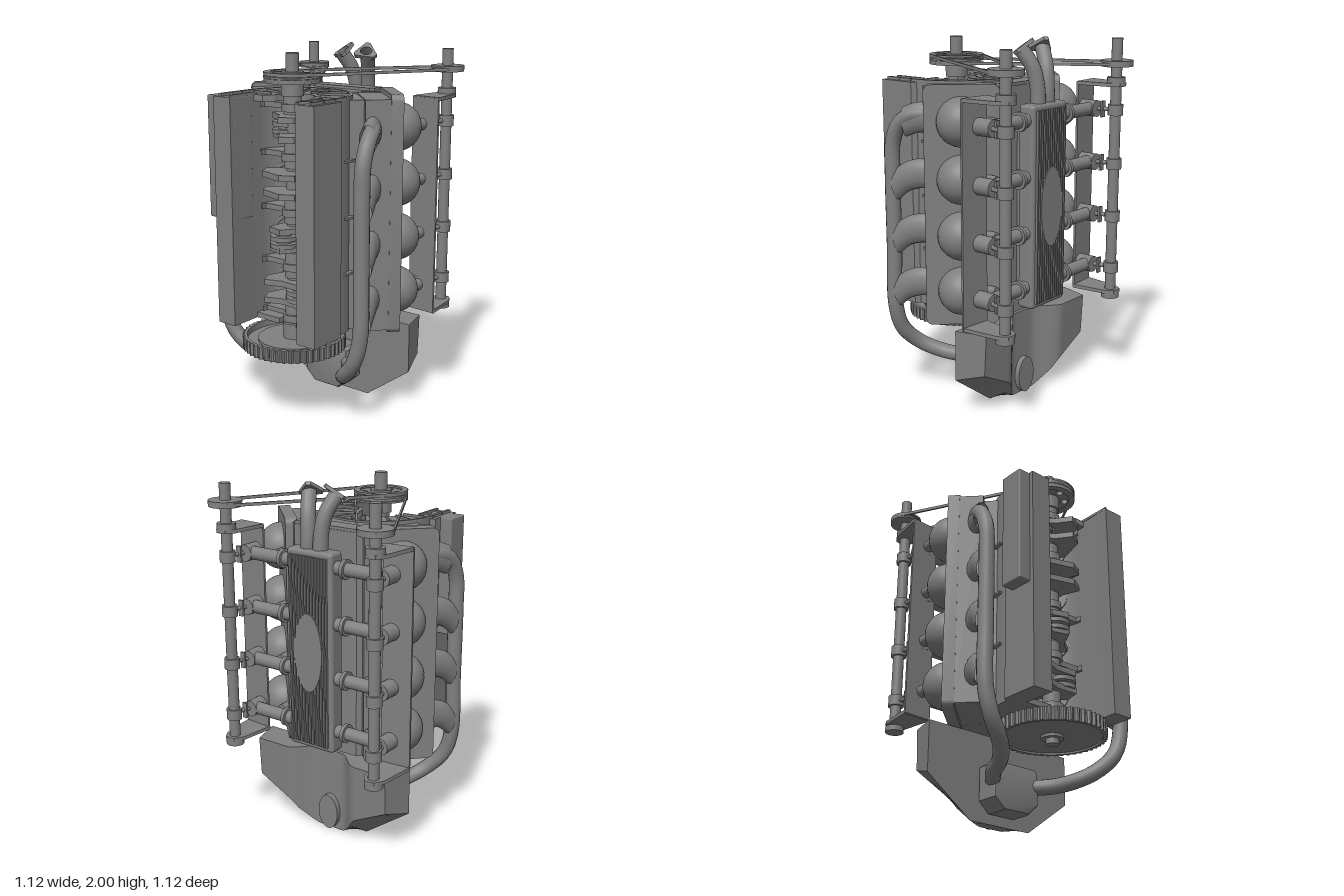
import * as THREE from 'three';
import { toCreasedNormals } from 'three/addons/utils/BufferGeometryUtils.js';
import { RoundedBoxGeometry } from 'three/addons/geometries/RoundedBoxGeometry.js';

const V = (x, y, z) => new THREE.Vector3(x, y, z);
const metal = new THREE.MeshStandardMaterial({ color: 0x808080, side: THREE.DoubleSide });
const CZ = 0.275; // crank axis
const ROWS = [0.69, 0.99, 1.29, 1.59]; // cylinder rows

function add(parent, name, geo, x = 0, y = 0, z = 0) {
  const m = new THREE.Mesh(geo, metal);
  m.name = name;
  m.position.set(x, y, z);
  parent.add(m);
  return m;
}
const box = (p, n, w, h, d, x, y, z) => add(p, n, new THREE.BoxGeometry(w, h, d), x, y, z);
const rbox = (p, n, w, h, d, r, x, y, z) => add(p, n, new RoundedBoxGeometry(w, h, d, 3, r), x, y, z);

// Cylinder between two points
function rod(p, n, a, b, r, seg = 20) {
  const d = b.clone().sub(a);
  const m = add(p, n, new THREE.CylinderGeometry(r, r, d.length(), seg));
  m.position.copy(a).addScaledVector(d, 0.5);
  m.quaternion.setFromUnitVectors(V(0, 1, 0), d.normalize());
  return m;
}
const disc = (p, n, x, z, y0, y1, r) => rod(p, n, V(x, y0, z), V(x, y1, z), r, 32);
const tube = (p, n, pts, r) =>
  add(p, n, new THREE.TubeGeometry(new THREE.CatmullRomCurve3(pts.map(q => V(...q)), false, 'centripetal'), 48, r, 16));
const poly = pts => new THREE.Shape(pts.map(q => new THREE.Vector2(...q)));

// Extrude an (x, z) shape from y0 to y1
function slab(p, n, shape, y0, y1, x = 0, z = 0) {
  const g = new THREE.ExtrudeGeometry(shape, { depth: y1 - y0, bevelEnabled: false, curveSegments: 28 });
  g.rotateX(Math.PI / 2);
  return add(p, n, toCreasedNormals(g, 0.6), x, y1, z);
}
function ring(ro, ri, holes = 0, hr = 0, at = 0) {
  const s = new THREE.Shape().absarc(0, 0, ro, 0, Math.PI * 2);
  s.holes.push(new THREE.Path().absarc(0, 0, ri, 0, Math.PI * 2));
  for (let i = 0; i < holes; i++) {
    const a = Math.PI / 2 + i * Math.PI * 2 / holes;
    s.holes.push(new THREE.Path().absarc(Math.cos(a) * at, Math.sin(a) * at, hr, 0, Math.PI * 2));
  }
  return s;
}
// Arch with legs: outer and inner radius around the crank
function arch(ro, ri, legOut, legIn, zEnd) {
  const s = new THREE.Shape();
  s.moveTo(legOut, zEnd).lineTo(legOut, CZ + 0.02);
  s.absarc(0, CZ, ro, 0, -Math.PI, true);
  s.lineTo(-legOut, CZ + 0.02).lineTo(-legOut, zEnd).lineTo(-legIn, zEnd);
  s.absarc(0, CZ, ri, -Math.PI, 0, false);
  s.lineTo(legIn, zEnd);
  return s;
}
// Outline of a belt around two circles
function hull(path, r1, x2, z2, r2) {
  const a = Math.atan2(z2 - CZ, x2), b = Math.acos((r1 - r2) / Math.hypot(x2, z2 - CZ));
  path.absarc(0, CZ, r1, a + b, a - b + Math.PI * 2, false);
  path.absarc(x2, z2, r2, a - b, a + b, false);
  return path;
}

function crankcase(g) {
  slab(g, 'crankcase', arch(0.315, 0.225, 0.34, 0.22, 0.515), 0.51, 1.755);
  slab(g, 'frontCover', arch(0.3, 0.12, 0.3, 0.16, 0.33), 1.72, 1.755);
  slab(g, 'coverRim', arch(0.315, 0.297, 0.315, 0.297, 0.5), 1.75, 1.77);
  slab(g, 'rearCover', arch(0.3, 0.06, 0.3, 0.06, 0.33), 0.51, 0.54);
  for (let i = 0; i <= 8; i++) { // radial ribs on the front cover
    const a = Math.PI + i * Math.PI / 8;
    const rib = box(g, 'coverRib', 0.15, 0.015, 0.01, Math.cos(a) * 0.225, 1.76, CZ + Math.sin(a) * 0.225);
    rib.rotation.y = -a;
  }
  for (const s of [-1, 1]) {
    for (const z of [0.36, 0.45]) {
      const rib = box(g, 'legRib', 0.13, 0.015, 0.01, s * 0.27, 1.76, z);
      rib.rotation.y = s * 0.8;
    }
    box(g, 'legWall', 0.012, 0.015, 0.2, s * 0.226, 1.76, 0.41);
    for (const y of [0.84, 1.14, 1.44]) box(g, 'sideFin', 0.08, 0.012, 0.16, s * 0.29, y, 0.155);
  }
  slab(g, 'valleyCover', poly([[-0.2, -0.245], [0.2, -0.245], [0.27, -0.18], [0.1, 0], [-0.1, 0], [-0.27, -0.18]]), 0.52, 1.76);
  slab(g, 'valleyLip', poly([[-0.2, -0.24], [0.2, -0.24], [0.21, -0.16], [0.19, -0.14], [-0.19, -0.14], [-0.21, -0.16]]), 1.75, 1.775);
  for (const y of [0.55, 0.84, 1.14, 1.44, 1.7]) { // main bearings
    slab(g, 'bulkhead', arch(0.23, 0.045, 0.21, 0.045, 0.26), y - 0.015, y + 0.015);
    slab(g, 'bearingCap', ring(0.06, 0.035), y - 0.02, y + 0.02, 0, CZ);
  }
  disc(g, 'camNose', 0, 0.04, 1.74, 1.765, 0.05);
  disc(g, 'camBolt', 0, 0.04, 1.765, 1.775, 0.03);
  rbox(g, 'starterMotor', 0.19, 0.66, 0.14, 0.008, -0.315, 1.425, 0.42);
}

// One cylinder bank, local +z pointing outward from the crank
function bank(g, s) {
  const b = new THREE.Group();
  b.name = 'cylinderBank';
  b.position.z = CZ;
  b.rotation.y = s * Math.PI * 0.75;
  g.add(b);
  box(b, 'bankBody', 0.29, 1.23, 0.15, 0, 1.135, 0.305);
  box(b, 'cylinderHead', 0.384, 1.235, 0.14, 0, 1.138, 0.425);
  const c = new THREE.Shape(), w = 0.194, h = 0.64, r = 0.035;
  [[w, h], [-w, h], [-w, -h], [w, -h]].forEach(([x, y], i) =>
    c.absarc(x - Math.sign(x) * r, y - Math.sign(y) * r, r, i * Math.PI / 2, (i + 1) * Math.PI / 2, false));
  const cover = new THREE.ExtrudeGeometry(c, { depth: 0.065, bevelEnabled: false });
  add(b, 'headCover', toCreasedNormals(cover, 0.6), 0, 1.14, 0.488);
  for (const y of ROWS) {
    add(b, 'headDome', new THREE.SphereGeometry(0.13, 32, 20), 0, y, 0.553);
    const yy = y + s * 0.02;
    rod(b, 'cylinderSleeve', V(0, yy, 0.215), V(0, yy, 0.32), 0.11, 28);
    rod(b, 'piston', V(0, yy, 0.2), V(0, yy, 0.26), 0.09, 28);
    box(b, 'connectingRod', 0.04, 0.025, 0.16, 0, yy, 0.13);
  }
}

function crankshaft(g) {
  disc(g, 'crankshaft', 0, CZ, 0.35, 1.98, 0.035);
  ROWS.forEach((y, i) => {
    const a = [0, 1, 3, 2][i] * Math.PI / 2 + 0.3;
    const cx = Math.cos(a) * 0.06, cz = CZ + Math.sin(a) * 0.06;
    disc(g, 'crankPin', cx, cz, y - 0.05, y + 0.06, 0.045);
    for (const k of [-1, 1]) {
      slab(g, 'rodBigEnd', ring(0.075, 0.035), y + k * 0.02 - 0.012, y + k * 0.02 + 0.012, cx, cz);
      const web = slab(g, 'crankWeb', poly([[0.12, -0.05], [0.12, 0.05], [0, 0.08], [-0.08, 0.14], [-0.14, 0.08],
        [-0.14, -0.08], [-0.08, -0.14], [0, -0.08]]), -0.016, 0.016, 0, CZ);
      web.position.y = y + 0.01 + k * 0.05 + 0.016;
      web.rotation.y = -a;
    }
  });
  for (const y of [0.6, 0.85, 1.15, 1.45, 1.73]) disc(g, 'journal', 0, CZ, y - 0.07, y + 0.07, 0.048);
  // Toothed flywheel
  const teeth = [];
  for (let i = 0; i < 192; i++) {
    const a = i * Math.PI / 96, r = i % 4 < 2 ? 0.285 : 0.274;
    teeth.push([Math.cos(a) * r, Math.sin(a) * r]);
  }
  const gear = poly(teeth);
  gear.holes.push(new THREE.Path().absarc(0, 0, 0.26, 0, Math.PI * 2));
  slab(g, 'flywheelTeeth', gear, 0.385, 0.455, 0, CZ);
  slab(g, 'flywheelDisc', ring(0.265, 0.03), 0.395, 0.42, 0, CZ);
  slab(g, 'flywheelStep', ring(0.2, 0.03), 0.4, 0.435, 0, CZ);
  disc(g, 'flywheelHub', 0, CZ, 0.38, 0.52, 0.06);
  // Twin groove crank pulley
  for (const y of [1.835, 1.86, 1.88]) slab(g, 'crankPulleyRim', ring(0.15, 0.115), y - 0.005, y + 0.005, 0, CZ);
  slab(g, 'crankPulley', ring(0.135, 0.03, 6, 0.02, 0.092), 1.835, 1.87, 0, CZ);
  slab(g, 'pulleyHub', ring(0.06, 0.03), 1.76, 1.885, 0, CZ);
}

// Side shaft with bracket, pulley and belt
function sideShaft(g, s) {
  const x = s * 0.47, z = -0.475, y = s > 0 ? 1.875 : 1.845;
  disc(g, 'sideShaft', x, z, 0.51, 1.98, 0.03);
  for (const [a, b] of [[0.51, 0.56], [1.72, 1.77]]) disc(g, 'shaftBearing', x, z, a, b, 0.05);
  disc(g, 'sidePulley', x, z, y - 0.007, y + 0.007, 0.08);
  for (const k of [-1, 1]) disc(g, 'sidePulleyRim', x, z, y + k * 0.011 - 0.005, y + k * 0.011 + 0.005, 0.09);
  const belt = hull(new THREE.Shape(), 0.148, x, z, 0.09);
  belt.holes.push(hull(new THREE.Path(), 0.138, x, z, 0.08));
  slab(g, 'belt', belt, y - 0.008, y + 0.008);
  const end = [[0.555, -0.262], [0.53, -0.47], [0.5, -0.52], [0.44, -0.52], [0.41, -0.47], [0.385, -0.275]];
  for (const yy of [0.55, 1.73]) slab(g, 'bracketEnd', poly(end.map(q => [q[0] * s, q[1]])), yy - 0.01, yy + 0.01);
  const plate = box(g, 'bracketPlate', 0.17, 1.19, 0.012, s * 0.47, 1.14, -0.27);
  plate.rotation.y = -s * 0.08;
  for (const r of ROWS) {
    disc(g, 'shaftCollar', x, z, r - 0.03, r + 0.03, 0.042);
    rod(g, 'linkRod', V(s * 0.45, r, -0.37), V(x, r, -0.46), 0.012);
    box(g, 'linkLever', 0.03, 0.09, 0.012, s * 0.45, r, -0.405);
    rod(g, 'inletBody', V(s * 0.44, r, -0.265), V(s * 0.44, r, -0.375), 0.046);
    rod(g, 'inletNeck', V(s * 0.45, r, -0.15), V(s * 0.45, r, -0.27), 0.032);
    rod(g, 'intakeRunner', V(s * 0.12, r, -0.337), V(s * 0.44, r, -0.337), 0.036);
    rod(g, 'runnerFlange', V(s * 0.19, r, -0.337), V(s * 0.21, r, -0.337), 0.052);
    rod(g, 'headInlet', V(s * 0.295, r, -0.15), V(s * 0.295, r, -0.27), 0.024);
  }
}

function intake(g) {
  rbox(g, 'intakePlenum', 0.29, 1.1, 0.1, 0.02, 0, 1.12, -0.337);
  box(g, 'plenumFoot', 0.2, 1, 0.08, 0, 1.12, -0.26);
  for (let i = -6; i <= 6; i++) box(g, 'plenumRib', 0.009, 1.04, 0.02, i * 0.019, 1.12, -0.39);
  const oval = rod(g, 'ovalCap', V(0, 1.12, -0.38), V(0, 1.12, -0.403), 0.09, 40);
  oval.scale.z = 2.4;
  for (const s of [-1, 1]) {
    tube(g, 'intakePipe', [[s * 0.04, 1.62, -0.335], [s * 0.04, 1.74, -0.33], [s * 0.055, 1.85, -0.31], [s * 0.09, 1.95, -0.255]], 0.04);
    const plate = poly([[-0.065, -0.03], [-0.05, -0.05], [0.05, -0.05], [0.065, -0.03], [0.015, 0.06], [-0.015, 0.06]]);
    plate.holes.push(new THREE.Path().absarc(0, -0.005, 0.032, 0, Math.PI * 2));
    const f = slab(g, 'pipeFlange', plate, -0.012, 0.008, s * 0.085, -0.255);
    f.geometry.rotateY(s * 1.4);
    f.position.y = 1.96;
    f.rotation.set(0.55, 0, -s * 0.35);
  }
}

function exhaust(g) {
  for (const s of [-1, 1]) {
    const side = pts => pts.map(q => [q[0] * s, q[1], q[2]]);
    tube(g, 'exhaustPipe', side([[0.4, 1.61, 0.11], [0.445, 1.605, 0.18], [0.47, 1.56, 0.25], [0.478, 1.45, 0.3], [0.478, 1.3, 0.307],
      [0.478, 0.9, 0.307], [0.475, 0.53, 0.31], [0.43, 0.39, 0.305], [0.34, 0.29, 0.265], [0.27, 0.24, 0.18], [0.21, 0.222, 0.06],
      [0.1, 0.22, -0.08]]), 0.042);
    // Tall oval runners from the head into the pipe
    for (const r of ROWS) {
      const path = [[0.39, 0, 0.09], [0.425, 0, 0.16], [0.455, -0.015, 0.23], [0.474, -0.045, 0.29]];
      const duct = tube(g, 'exhaustRunner', side(path.slice(0, r > 1.5 ? 3 : 4)), 0.046);
      duct.scale.y = 1.75;
      duct.position.y = r;
    }
  }
  const c = new THREE.ExtrudeGeometry(poly([[-0.138, 0.29], [-0.138, 0.12], [-0.08, 0.067], [0.08, 0.067], [0.138, 0.12], [0.138, 0.29],
    [0.125, 0.3], [-0.125, 0.3]]), { depth: 0.1, bevelSize: 0.012, bevelThickness: 0.02, bevelSegments: 3 });
  add(g, 'exhaustCollector', toCreasedNormals(c, 0.6), 0, 0, -0.12);
}

// Lower tank: cross-sections along x, with two rear lobes and a hollow between them
function tank(g) {
  const pos = [], idx = [], N = 48, S = THREE.MathUtils.smoothstep;
  for (let i = 0; i <= N; i++) {
    const x = -0.48 + i * 0.96 / N, ax = Math.abs(x);
    const out = Math.max(0, (ax - 0.2) / 0.28), t = S(ax, 0.08, 0.26);
    const low = 0.005 + 0.205 * out, back = -0.21 - 0.105 * t;
    const rise = 0.13 * t * (1 - 0.6 * out);
    pos.push(x, 0.49, -0.14, x, low, -0.14, x * 0.9, low + rise, back + 0.012 * t, x * 0.9, 0.49, back);
    for (let k = 0; i < N && k < 4; k++) {
      const a = i * 4 + k, b = i * 4 + (k + 1) % 4;
      idx.push(a, b, a + 4, b, b + 4, a + 4);
    }
  }
  const e = N * 4;
  idx.push(0, 3, 2, 0, 2, 1, e, e + 1, e + 2, e, e + 2, e + 3);
  const geo = new THREE.BufferGeometry();
  geo.setAttribute('position', new THREE.Float32BufferAttribute(pos, 3));
  geo.setIndex(idx);
  add(g, 'tank', toCreasedNormals(geo, 0.5));
  const boss = rod(g, 'tankBoss', V(0, 0.115, -0.14), V(0, 0.115, -0.24), 0.065, 32);
  boss.scale.z = 1.6;
}

export function createModel() {
  const g = new THREE.Group();
  g.name = 'engine';
  crankcase(g);
  crankshaft(g);
  for (const s of [-1, 1]) { bank(g, s); sideShaft(g, s); }
  intake(g);
  exhaust(g);
  tank(g);
  return g;
}
